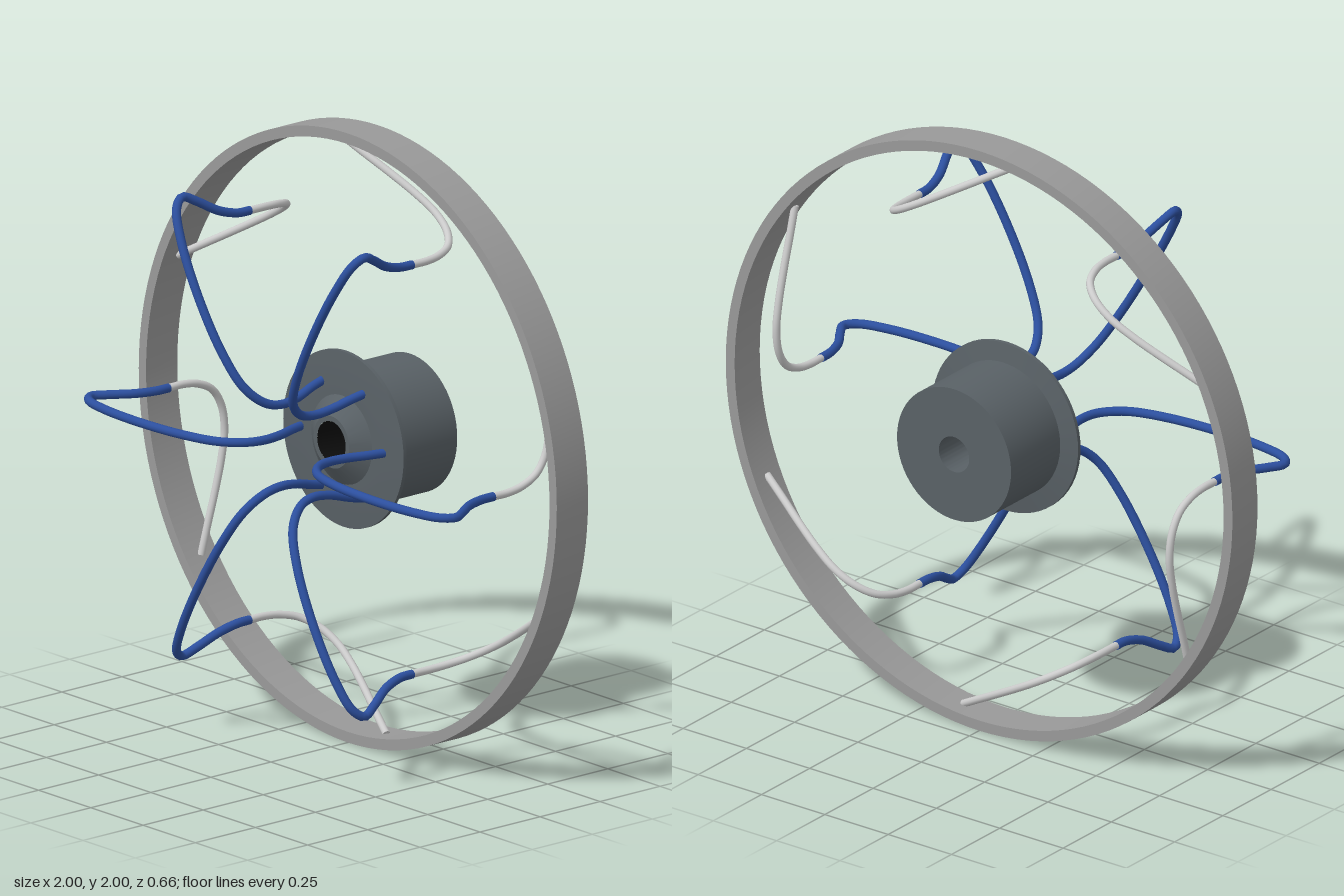
import * as THREE from 'three';
import { toCreasedNormals } from 'three/addons/utils/BufferGeometryUtils.js';

const SPOKES = 6;
const paint = (color) => new THREE.MeshStandardMaterial({ color });

// Turned part around the z axis; profile is [radius, z], outside running back to front.
function turned(name, profile, material, segments = 64) {
  const pts = profile.map(([r, z]) => new THREE.Vector2(r, z));
  const geo = new THREE.LatheGeometry(pts, segments).rotateX(Math.PI / 2);
  const mesh = new THREE.Mesh(toCreasedNormals(geo, 0.5), material);
  mesh.name = name;
  return mesh;
}

// Round rod with flat end caps, swept along a smooth curve.
function rod(name, points, radius, material) {
  const curve = new THREE.CatmullRomCurve3(points.map((p) => new THREE.Vector3(...p)), false, 'centripetal');
  const group = new THREE.Group();
  group.name = name;
  group.add(new THREE.Mesh(new THREE.TubeGeometry(curve, 80, radius, 12), material));
  for (const [t, sign] of [[0, -1], [1, 1]]) {
    const cap = new THREE.Mesh(new THREE.CircleGeometry(radius, 12), material);
    const p = curve.getPointAt(t);
    cap.position.copy(p);
    cap.quaternion.setFromUnitVectors(new THREE.Vector3(0, 0, 1), curve.getTangentAt(t).multiplyScalar(sign));
    group.add(cap);
  }
  return group;
}

export function createModel() {
  const model = new THREE.Group();
  const wheel = new THREE.Group();
  wheel.name = 'wheel';
  wheel.position.y = 1;
  model.add(wheel);

  const rimGrey = paint(0x999999);
  const steel = paint(0xcccccc);
  const blue = paint(0x2c4f9e);
  const hubGrey = paint(0x596166);
  const black = paint(0x0c0c0c);

  // Rim band
  wheel.add(turned('rim', [
    [0.965, -0.2], [1, -0.2], [1, -0.07], [0.965, -0.07], [0.965, -0.2],
  ], rimGrey, 128));

  // Hub: rear drum with a blind bore, thin flange and tapered nose
  wheel.add(turned('hub', [
    [0, -0.15], [0.06, -0.15], [0.06, -0.33], [0.225, -0.33], [0.225, -0.075],
    [0.288, -0.065], [0.288, -0.052], [0.2, -0.045], [0.145, -0.045],
    [0.085, -0.002], [0.068, -0.002],
  ], hubGrey));

  // Dark socket in the nose
  wheel.add(turned('hubSocket', [[0.068, -0.002], [0.064, -0.012], [0.064, -0.1], [0, -0.1]], black, 32));

  // Bent front arm, lying in a radial plane: [radius, z]
  const armPath = [
    [0.2, -0.06], [0.185, 0], [0.163, 0.07], [0.155, 0.14], [0.172, 0.2], [0.235, 0.26],
    [0.36, 0.297], [0.56, 0.313], [0.74, 0.303], [0.84, 0.277], [0.87, 0.24],
    [0.845, 0.19], [0.8, 0.12], [0.778, 0.05], [0.776, 0],
  ].map(([r, z]) => [r, 0, z]);

  // Rear arm, sweeping tangentially from the front arm to the rim: [distance, z]
  const linkPath = [
    [0, 0.002], [0, -0.06], [0.01, -0.12], [0.04, -0.18], [0.1, -0.219], [0.18, -0.232],
    [0.27, -0.22], [0.38, -0.192], [0.48, -0.162], [0.575, -0.135],
  ].map(([t, z]) => [0.776, t, z]);

  for (let i = 0; i < SPOKES; i++) {
    const spoke = new THREE.Group();
    spoke.name = `spoke${i + 1}`;
    spoke.rotation.z = (i / SPOKES) * Math.PI * 2;
    spoke.add(rod('frontArm', armPath, 0.0145, blue), rod('rearArm', linkPath, 0.0125, steel));
    wheel.add(spoke);
  }
  return model;
}
